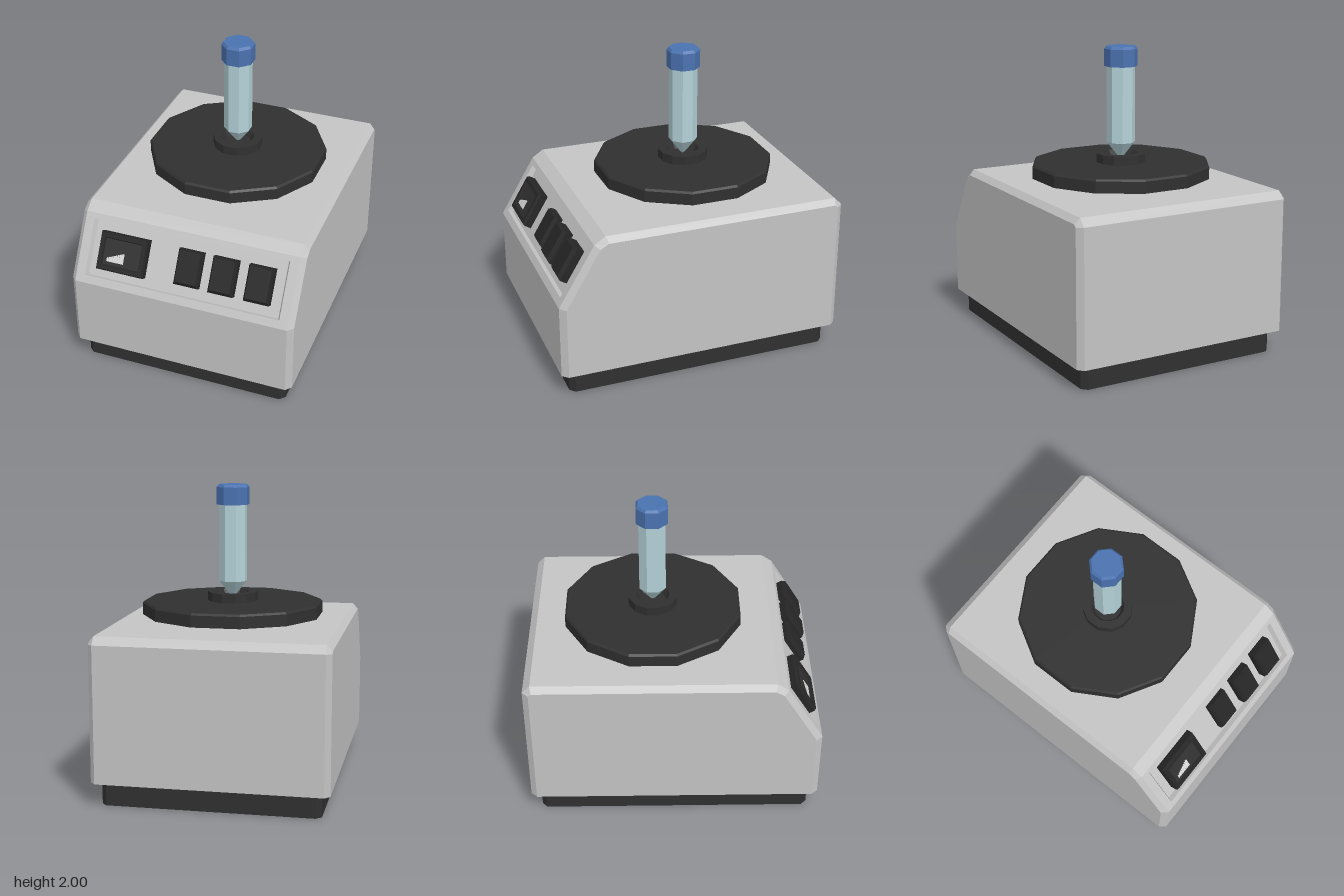
import * as THREE from 'three';

const mat = (name, color) => Object.assign(new THREE.MeshStandardMaterial({ color }), { name });

// Flat facets: every triangle gets its own normal
function flat(g) {
  const f = g.index ? g.toNonIndexed() : g;
  f.computeVertexNormals();
  return f;
}

// Skins a list of rings (clockwise seen from the last ring), with optional end caps
function loft(rings, { start = true, end = true, skip = () => false } = {}) {
  const pos = [];
  const tri = (...pts) => pts.forEach((p) => pos.push(...p));
  const n = rings[0].length;
  for (let i = 0; i < rings.length - 1; i++) {
    for (let j = 0; j < n; j++) {
      if (skip(i, j)) continue;
      const k = (j + 1) % n;
      const [a, b, c, d] = [rings[i][j], rings[i][k], rings[i + 1][k], rings[i + 1][j]];
      tri(a, d, c);
      tri(a, c, b);
    }
  }
  const first = rings[0], last = rings[rings.length - 1];
  for (let j = 1; j < n - 1; j++) {
    if (start) tri(first[0], first[j], first[j + 1]);
    if (end) tri(last[0], last[j + 1], last[j]);
  }
  const g = new THREE.BufferGeometry();
  g.setAttribute('position', new THREE.Float32BufferAttribute(pos, 3));
  return flat(g);
}

const rect = (x0, x1, y0, y1, z) => [[x0, y0, z], [x0, y1, z], [x1, y1, z], [x1, y0, z]];

export function createModel() {
  const grey = mat('housingGrey', 0xc4c4c4);
  const charcoal = mat('charcoal', 0x303030);
  const black = mat('controlBlack', 0x262626);
  const glass = mat('tubeGlass', 0xb4d2d8);
  const blue = mat('capBlue', 0x4a72b0);
  const light = mat('displayMark', 0xd8d8d8);

  const model = new THREE.Group();
  model.name = 'labMixer';
  const add = (parent, name, geometry, material) => {
    const m = new THREE.Mesh(geometry, material);
    m.name = name;
    parent.add(m);
    return m;
  };

  // Base plinth with clipped corners
  const bx = 0.707, bz = 0.907, c = 0.035;
  const plinth = (y) => [
    [-bx, bz - c], [-bx + c, bz], [bx - c, bz], [bx, bz - c],
    [bx, -bz + c], [bx - c, -bz], [-bx + c, -bz], [-bx, -bz + c],
  ].reverse().map(([x, z]) => [x, y, z]).reverse();
  // ring runs clockwise from above when x goes - to + along the back first
  add(model, 'base', loft([plinth(0).reverse(), plinth(0.16).reverse()]), charcoal);

  // Housing: side profile (z, y) swept across x with bevelled sides
  const outer = [[0.97, 0.155], [0.97, 0.65], [0.73, 1.05], [0.655, 1.1], [-0.92, 1.1], [-0.97, 1.05], [-0.97, 0.155]];
  const inner = [[0.93, 0.155], [0.93, 0.645], [0.7, 1.03], [0.645, 1.062], [-0.91, 1.062], [-0.93, 1.045], [-0.93, 0.155]];
  const section = (x, pts) => pts.map(([z, y]) => [x, y, z]);
  add(model, 'housing', loft([
    section(-0.765, inner), section(-0.73, outer), section(0.73, outer), section(0.765, inner),
  ], { skip: (i, j) => i === 1 && j === 1 }), grey);

  // Sloped control panel: local y runs up the slope, local z points out of it
  const panel = new THREE.Group();
  panel.name = 'controlPanel';
  panel.position.set(0, 0.65, 0.97);
  panel.rotation.x = -Math.atan2(0.24, 0.4);
  model.add(panel);

  const slope = Math.hypot(0.24, 0.4);
  const toShape = (Type, pts) => new Type(pts.map(([x, y]) => new THREE.Vector2(x, y)));
  const face = toShape(THREE.Shape, rect(-0.73, 0.73, 0, slope, 0));
  face.holes.push(toShape(THREE.Path, rect(-0.67, 0.67, 0.052, 0.431, 0)));
  add(panel, 'panelFrame', flat(new THREE.ShapeGeometry(face)), grey);
  add(panel, 'panelRecess', loft([
    rect(-0.67, 0.67, 0.052, 0.431, 0), rect(-0.655, 0.655, 0.056, 0.429, -0.035),
  ], { start: false }), grey);

  // Three push buttons, the first one sitting lower
  [[-0.06, 0.11, 0.024], [0.18, 0.347, 0.042], [0.42, 0.59, 0.042]].forEach(([x0, x1, h], i) => {
    add(panel, `button${i + 1}`, loft([
      rect(x0, x1, 0.125, 0.362, -0.035),
      rect(x0, x1, 0.125, 0.362, h - 0.026),
      rect(x0 + 0.014, x1 - 0.014, 0.146, 0.352, h),
    ]), black);
  });

  // Display with a raised bezel and sunken screen
  add(panel, 'displayBezel', loft([
    rect(-0.595, -0.265, 0.112, 0.364, -0.035),
    rect(-0.595, -0.265, 0.112, 0.364, 0.015),
    rect(-0.587, -0.273, 0.12, 0.356, 0.032),
    rect(-0.562, -0.298, 0.145, 0.33, 0.032),
    rect(-0.556, -0.304, 0.151, 0.324, 0.018),
  ], { end: false }), black);
  add(panel, 'screen', flat(new THREE.PlaneGeometry(0.252, 0.173)), charcoal).position.set(-0.43, 0.2375, 0.018);

  // Rising bar mark on the screen
  for (let i = 0; i < 8; i++) {
    const h = 0.026 + 0.006 * i;
    add(panel, 'displayBar', flat(new THREE.BoxGeometry(0.0135, h, 0.003)), light)
      .position.set(-0.523 + i * 0.0148, 0.174 + h / 2, 0.0195);
  }

  // Turned parts stacked on the spindle axis
  const spindle = new THREE.Group();
  spindle.name = 'spindle';
  spindle.position.z = -0.135;
  model.add(spindle);
  const turned = (name, sides, pts, material) => {
    const g = new THREE.LatheGeometry(pts.map(([r, y]) => new THREE.Vector2(r, y)), sides);
    g.rotateY(Math.PI / sides);
    return add(spindle, name, flat(g), material);
  };
  turned('hub', 12, [[0, 1.09], [0.172, 1.09], [0.172, 1.15]], charcoal);
  turned('platter', 12, [[0, 1.138], [0.604, 1.138], [0.604, 1.215], [0.592, 1.228], [0, 1.228]], charcoal);
  turned('tubeHolder', 12, [[0.167, 1.22], [0.167, 1.288], [0.112, 1.288], [0.09, 1.245], [0, 1.245]], charcoal);
  turned('tube', 8, [[0, 1.25], [0.02, 1.265], [0.095, 1.36], [0.095, 1.88], [0, 1.88]], glass);
  turned('cap', 8, [[0, 1.868], [0.111, 1.868], [0.111, 1.983], [0.097, 2], [0, 2]], blue);

  return model;
}
